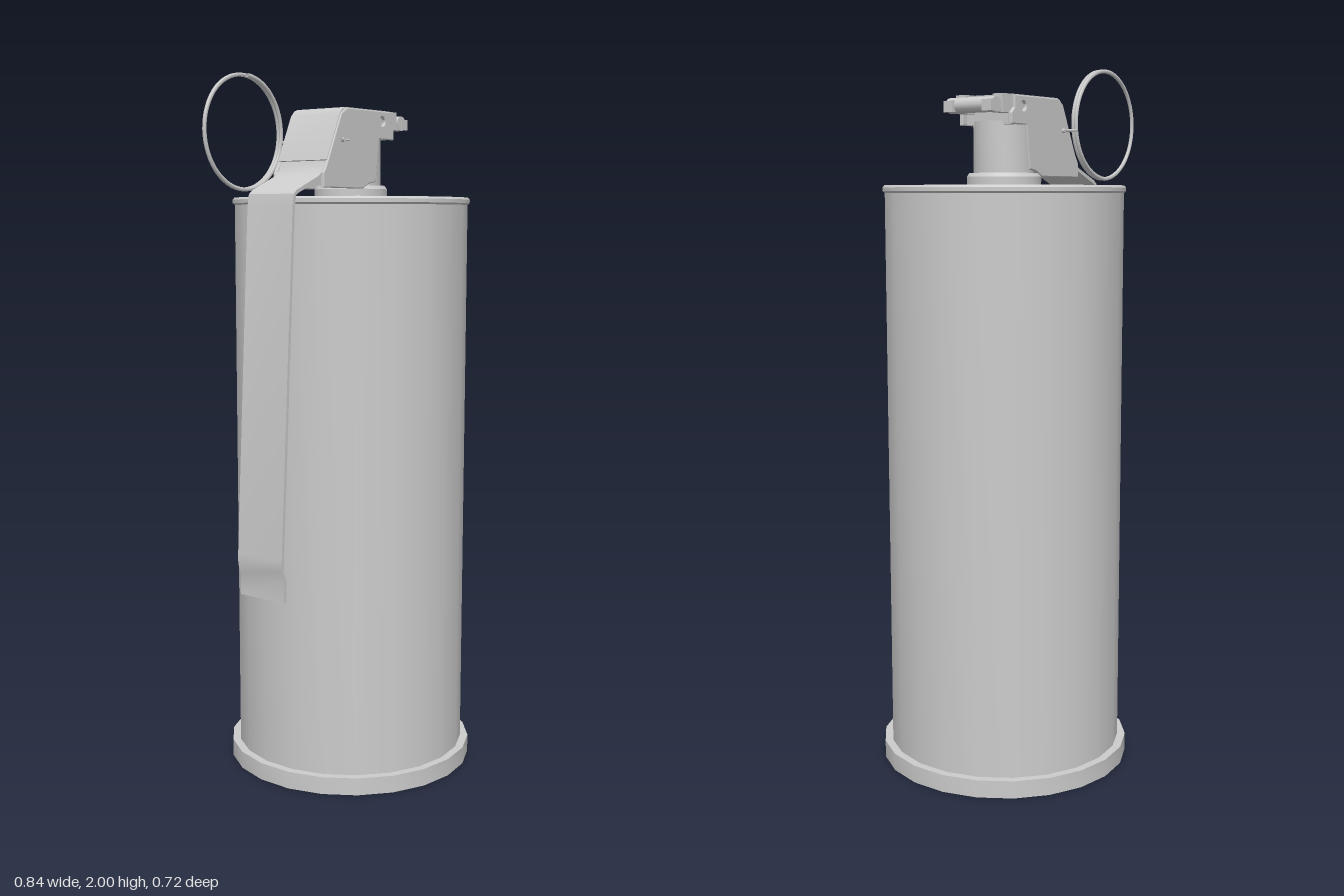
import * as THREE from 'three';
import { toCreasedNormals } from 'three/addons/utils/BufferGeometryUtils.js';

const AXIS_X = 0.06; // the can stands off centre because of the lever
const material = new THREE.MeshStandardMaterial({ color: 0xcccccc, side: THREE.DoubleSide });
const v2 = (p) => new THREE.Vector2(p[0], p[1]);

export function createModel() {
  const model = new THREE.Group();

  const add = (name, geometry, x = 0, y = 0, z = 0) => {
    const mesh = new THREE.Mesh(geometry, material);
    mesh.name = name;
    mesh.position.set(x, y, z);
    model.add(mesh);
    return mesh;
  };
  const box = (name, x0, x1, y0, y1, z, depth) =>
    add(name, new THREE.BoxGeometry(x1 - x0, y1 - y0, depth), (x0 + x1) / 2, (y0 + y1) / 2, z);
  const lathe = (name, profile, sides) =>
    add(name, toCreasedNormals(new THREE.LatheGeometry(profile.map(v2), sides), 0.45), AXIS_X);

  // Bent sheet: a side-view path thickened inward and extruded across z
  const sheet = (name, path, thickness, width) => {
    const pts = path.map(v2);
    const inner = pts.map((p, i) => {
      const a = pts[Math.max(i - 1, 0)], b = pts[Math.min(i + 1, pts.length - 1)];
      const d = b.clone().sub(a).normalize();
      return new THREE.Vector2(p.x - d.y * thickness, p.y + d.x * thickness);
    });
    const shape = new THREE.Shape([...pts, ...inner.reverse()]);
    const geometry = new THREE.ExtrudeGeometry(shape, { depth: width, bevelEnabled: false });
    add(name, toCreasedNormals(geometry.translate(0, 0, -width / 2), 0.6));
  };

  // Can: recessed base, foot rim, wall, rolled lip and domed lid
  lathe('canister', [
    [0, 0.012], [0.335, 0.012], [0.34, 0], [0.36, 0], [0.36, 0.05], [0.337, 0.05],
    [0.337, 1.645], [0.343, 1.65], [0.343, 1.66], [0.338, 1.666], [0.331, 1.66],
    [0.327, 1.635], [0.3, 1.63], [0.295, 1.638], [0.24, 1.65], [0.17, 1.659], [0.09, 1.664], [0, 1.665],
  ], 22);

  // Fuse neck and body
  lathe('neckCollar', [
    [0, 1.65], [0.1, 1.65], [0.105, 1.655], [0.105, 1.69], [0.098, 1.7], [0, 1.7],
  ], 22);
  lathe('fuseBody', [[0, 1.69], [0.086, 1.69], [0.086, 1.84], [0, 1.84]], 22);
  box('fuseHead', -0.01, 0.13, 1.83, 1.9, 0, 0.15);

  // Lever cover and its two pierced side plates
  sheet('leverCover', [
    [0.13, 1.91], [-0.075, 1.91], [-0.09, 1.905], [-0.102, 1.892], [-0.16, 1.765],
  ], 0.012, 0.172);
  const plate = new THREE.Shape([
    [-0.18, 1.69], [0, 1.69], [0.03, 1.705], [0.06, 1.71], [0.075, 1.83], [0.145, 1.83], [0.145, 1.86],
    [0.13, 1.875], [0.13, 1.908], [-0.075, 1.908], [-0.1, 1.892], [-0.163, 1.755], [-0.178, 1.73],
  ].map(v2));
  plate.holes.push(new THREE.Path().absarc(0.09, 1.88, 0.013, 0, Math.PI * 2, true));
  const plateGeometry = new THREE.ExtrudeGeometry(plate, {
    depth: 0.006, bevelSize: 0.003, bevelOffset: -0.003, bevelThickness: 0.003, bevelSegments: 2, curveSegments: 8,
  }).translate(0, 0, -0.003);
  for (const side of [-1, 1]) add('leverSidePlate', plateGeometry, 0, 0, side * 0.085);

  // Long spoon hanging down beside the can
  sheet('spoon', [
    [-0.155, 1.765], [-0.165, 1.742], [-0.185, 1.722], [-0.28, 1.682], [-0.292, 1.672],
    [-0.298, 1.64], [-0.352, 0.68], [-0.352, 0.65], [-0.343, 0.622], [-0.343, 0.56],
  ], 0.01, 0.16);

  // Hinge: rounded tongue, lever arms, hooks and cross pin
  const tongue = new THREE.Shape();
  tongue.moveTo(0.12, -0.045);
  tongue.lineTo(0.13, -0.045);
  tongue.quadraticCurveTo(0.172, 0, 0.13, 0.045);
  tongue.lineTo(0.12, 0.045);
  const tongueGeometry = new THREE.ExtrudeGeometry(tongue, { depth: 0.012, bevelEnabled: false });
  add('hingeTongue', tongueGeometry.rotateX(Math.PI / 2), 0, 1.9);
  for (const side of [-1, 1]) {
    box('hingeArm', 0.125, 0.19, 1.872, 1.888, side * 0.036, 0.02);
    box('hingeHook', 0.125, 0.172, 1.86, 1.91, side * 0.064, 0.034);
    box('hingeHookTip', 0.165, 0.195, 1.86, 1.872, side * 0.064, 0.03);
    box('hingePinPad', 0.195, 0.225, 1.862, 1.892, side * 0.066, 0.032);
  }
  add('hingePin', new THREE.CylinderGeometry(0.021, 0.021, 0.16, 12), 0.198, 1.88).rotation.x = Math.PI / 2;

  // Safety pin with eye and spread ends
  const tube = (name, points, radius, segments) => add(name, new THREE.TubeGeometry(
    new THREE.CatmullRomCurve3(points.map((p) => new THREE.Vector3(...p))), segments, radius, 6));
  add('safetyPin', new THREE.CylinderGeometry(0.006, 0.006, 0.2, 8), -0.098, 1.82, 0).rotation.x = Math.PI / 2;
  for (const side of [-1, 1]) {
    tube('pinEnd', [[-0.098, 1.82, 0.09], [-0.098 + side * 0.005, 1.82, 0.098],
      [-0.098 + side * 0.018, 1.82, 0.102]], 0.003, 8);
  }
  add('pinEye', new THREE.TorusGeometry(0.015, 0.004, 6, 16), -0.096, 1.82, -0.123).rotation.x = Math.PI / 2;

  // Split pull ring, overlapping itself near the pin
  const ringPoints = [];
  for (let i = 0; i <= 60; i++) {
    const angle = -1.5 + (i / 60) * (Math.PI * 2 + 3);
    ringPoints.push([-0.263 + 0.154 * Math.cos(angle), 1.84 + 0.154 * Math.sin(angle), -0.131 + 0.014 * (i / 60)]);
  }
  tube('pullRing', ringPoints, 0.006, 90);

  return model;
}
